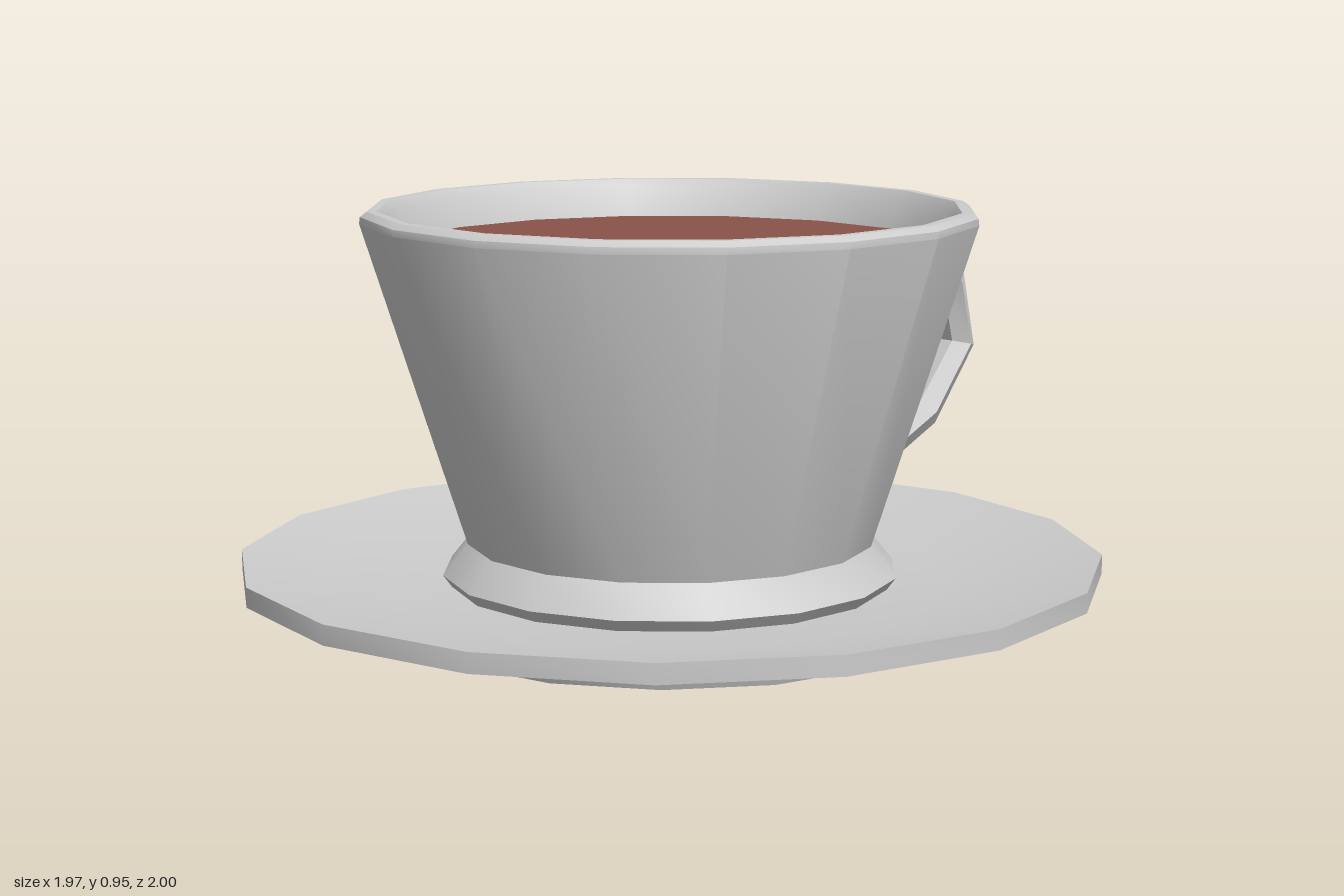
import * as THREE from 'three';
import { toCreasedNormals } from 'three/addons/utils/BufferGeometryUtils.js';

const SIDES = 16;
const CENTRE_Z = 0.015; // the bowl sits slightly forward to balance the handle

const ceramic = new THREE.MeshStandardMaterial({ color: 0xcccccc });
const drink = new THREE.MeshStandardMaterial({ color: 0x8a5349 });

// Turned part: profile of [radius, y] running up the outside, then down the inside
function turned(name, profile, turn, material = ceramic) {
  const points = profile.map(([r, y]) => new THREE.Vector2(r, y));
  const lathe = new THREE.LatheGeometry(points, SIDES, turn);
  const mesh = new THREE.Mesh(toCreasedNormals(lathe, 0.55), material);
  mesh.name = name;
  mesh.position.z = CENTRE_Z;
  return mesh;
}

// Hexagonal bar swept along a path of [z, y] in the x = 0 plane
function sweptBar(name, path, halfWidth, halfDepth) {
  const points = path.map(([z, y]) => new THREE.Vector3(0, y, z));
  const across = new THREE.Vector3(1, 0, 0);
  const n = 6;
  const positions = [];
  const index = [];
  points.forEach((p, i) => {
    const before = p.clone().sub(points[Math.max(i - 1, 0)]).normalize();
    const after = points[Math.min(i + 1, points.length - 1)].clone().sub(p).normalize();
    const tangent = before.add(after).normalize();
    const normal = new THREE.Vector3().crossVectors(tangent, across);
    for (let k = 0; k < n; k++) {
      const a = (k / n) * Math.PI * 2;
      const v = p.clone()
        .addScaledVector(across, Math.cos(a) * halfWidth)
        .addScaledVector(normal, Math.sin(a) * halfDepth);
      positions.push(v.x, v.y, v.z);
    }
  });
  for (let i = 0; i < points.length - 1; i++) {
    for (let k = 0; k < n; k++) {
      const a = i * n + k;
      const b = i * n + ((k + 1) % n);
      index.push(a, b, a + n, b, b + n, a + n);
    }
  }
  // End caps
  const last = (points.length - 1) * n;
  for (let k = 1; k < n - 1; k++) {
    index.push(0, k + 1, k, last, last + k, last + k + 1);
  }
  const geometry = new THREE.BufferGeometry();
  geometry.setAttribute('position', new THREE.Float32BufferAttribute(positions, 3));
  geometry.setIndex(index);
  geometry.computeVertexNormals();
  const mesh = new THREE.Mesh(toCreasedNormals(geometry, 0.4), ceramic);
  mesh.name = name;
  return mesh;
}

export function createModel() {
  const model = new THREE.Group();
  model.name = 'cupAndSaucer';
  const half = Math.PI / SIDES; // turns the cup so that a flat side faces front

  // Saucer: base ring, sloped underside, upright edge and shallow well
  model.add(turned('saucer', [
    [0, 0], [0.62, 0], [0.645, 0.065], [0.983, 0.11],
    [0.983, 0.155], [0.63, 0.09], [0, 0.09],
  ], 0));

  // Cup: flared foot, conical wall, rounded lip and inner wall
  model.add(turned('cup', [
    [0, 0.093], [0.5, 0.093], [0.52, 0.12], [0.463, 0.19],
    [0.694, 0.92], [0.692, 0.935], [0.677, 0.947], [0.656, 0.947],
    [0.642, 0.93], [0.612, 0.86], [0.42, 0.23], [0, 0.23],
  ], half));

  // Drink surface
  model.add(turned('drink', [[0.613, 0.86], [0, 0.86]], half, drink));

  // Handle, with both ends sunk into the cup wall
  model.add(sweptBar('handle', [
    [-0.6, 0.8], [-0.81, 0.793], [-0.92, 0.695], [-0.957, 0.54],
    [-0.832, 0.383], [-0.672, 0.307], [-0.45, 0.317],
  ], 0.054, 0.048));

  return model;
}
